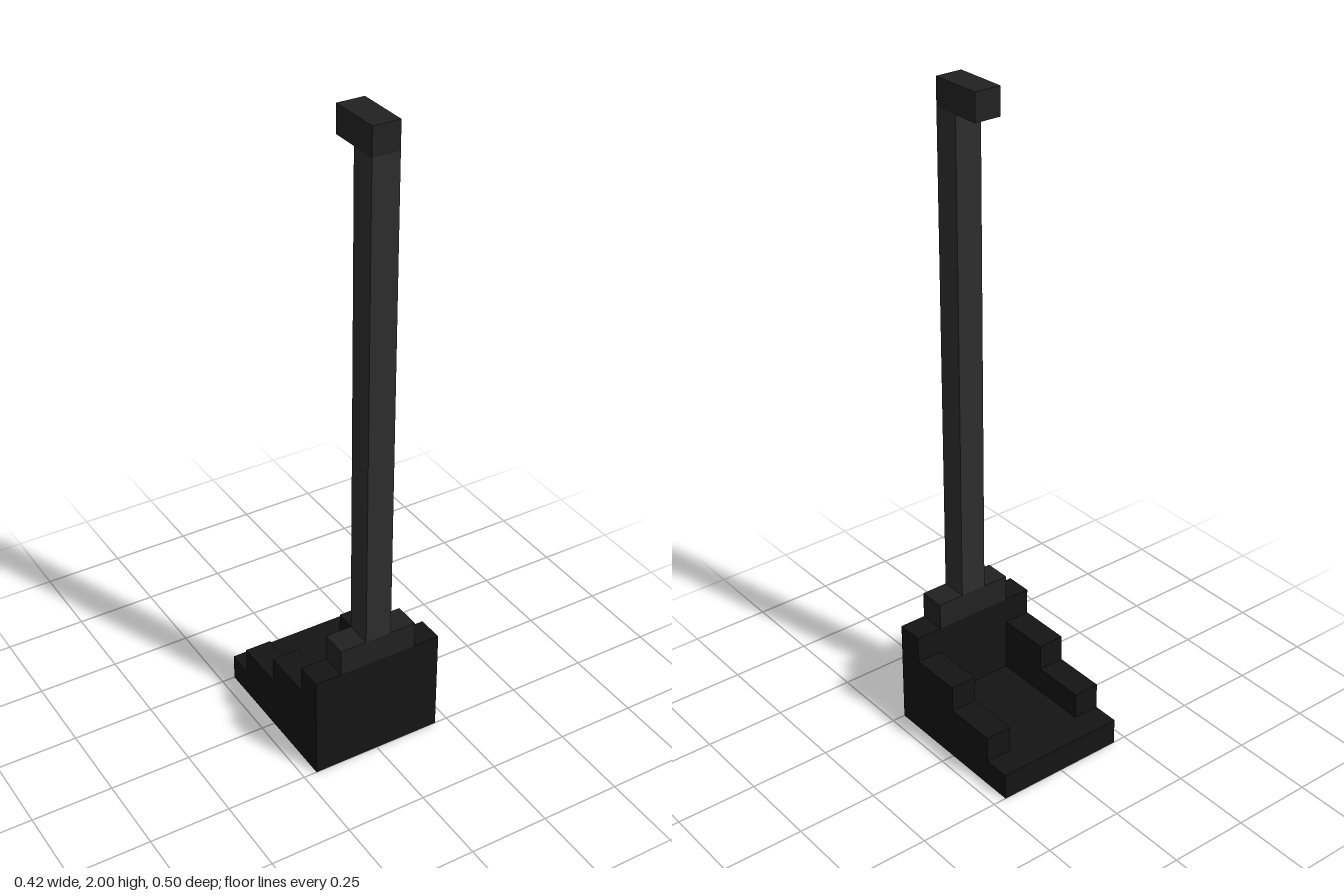
import * as THREE from 'three';

const U = 1 / 12; // one block

export function createModel() {
  const model = new THREE.Group();
  const panMat = new THREE.MeshStandardMaterial({ color: 0x141414 });
  const trimMat = new THREE.MeshStandardMaterial({ color: 0x212121 });
  const poleMat = new THREE.MeshStandardMaterial({ color: 0x2d2d2d });

  // Box given by its ranges in blocks
  function block(name, material, [x0, x1], [y0, y1], [z0, z1]) {
    const geometry = new THREE.BoxGeometry((x1 - x0) * U, (y1 - y0) * U, (z1 - z0) * U);
    const mesh = new THREE.Mesh(geometry, material);
    mesh.position.set((x0 + x1) / 2 * U, (y0 + y1) / 2 * U, (z0 + z1) / 2 * U);
    mesh.name = name;
    model.add(mesh);
  }

  // Dustpan floor and tall wall
  block('panFloor', panMat, [-2.5, 2.5], [0, 1], [-3, 3]);
  block('panWall', panMat, [-2.5, 2.5], [1, 4], [2, 3]);

  // Stepped side walls: profile in (-z, y), turned so its depth runs along x
  const steps = [[-2, 1], [2, 1], [2, 2], [0, 2], [0, 3], [-2, 3]];
  const profile = new THREE.Shape(steps.map(([a, b]) => new THREE.Vector2(a * U, b * U)));
  const wall = new THREE.ExtrudeGeometry(profile, { depth: U, bevelEnabled: false });
  wall.rotateY(Math.PI / 2);
  for (const [name, x] of [['leftSideWall', 1.5], ['rightSideWall', -2.5]]) {
    const mesh = new THREE.Mesh(wall, panMat);
    mesh.position.x = x * U;
    mesh.name = name;
    model.add(mesh);
  }

  // Collar, long handle and the grip turned back over the pan
  block('handleCollar', trimMat, [-1.5, 1.5], [4, 5], [2, 3]);
  block('handlePole', poleMat, [-0.5, 0.5], [5, 23], [2, 3]);
  block('handleGrip', trimMat, [-0.5, 0.5], [23, 24], [1, 3]);

  return model;
}
